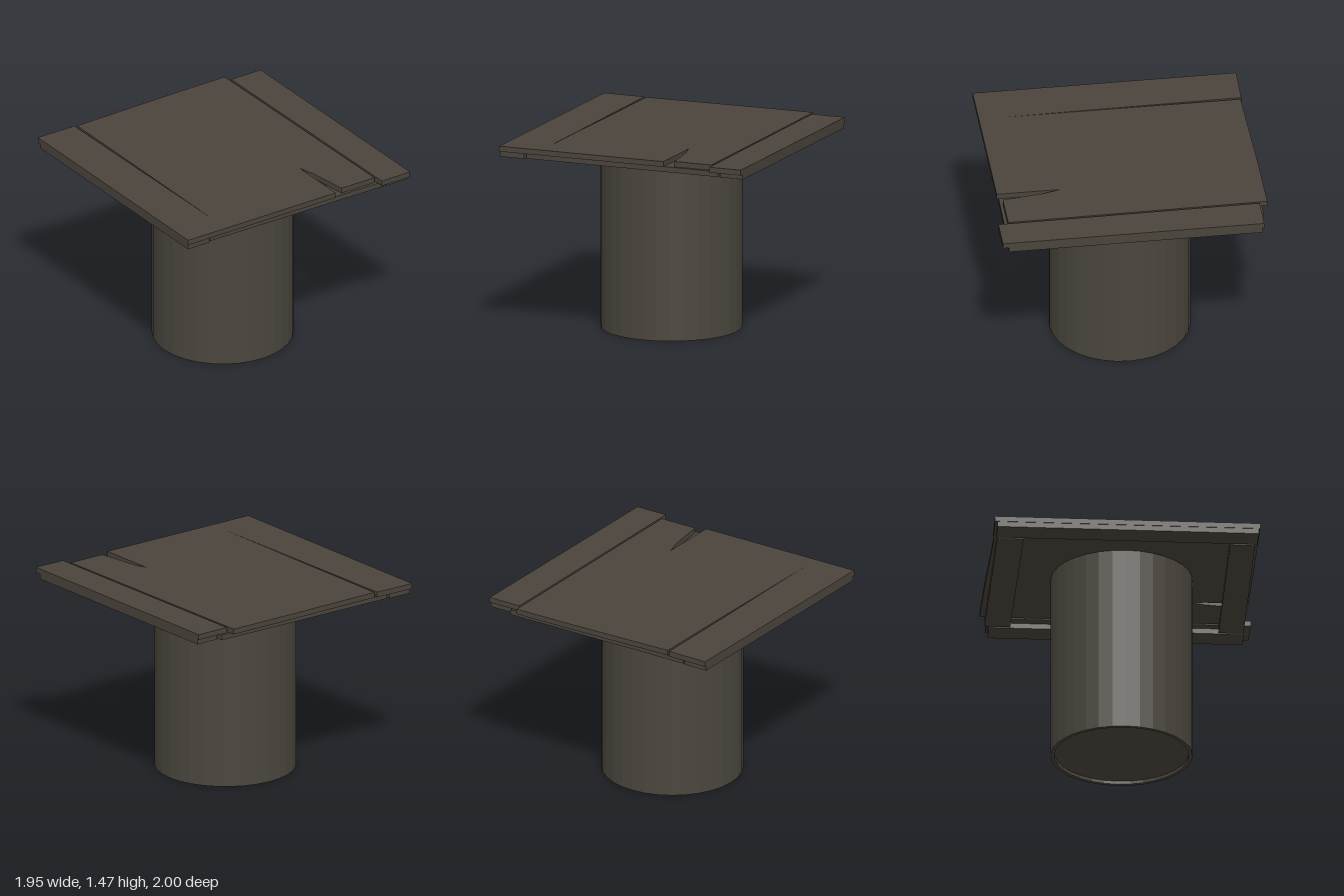
import * as THREE from 'three';

const wood = new THREE.MeshStandardMaterial({ name: 'dark wood', color: 0x4a443b, flatShading: true });
const barrel = new THREE.MeshStandardMaterial({ name: 'dark pedestal', color: 0x4b463e, flatShading: true });

const BOTTOM = 1.385, MIDDLE = 1.425, TOP = 1.465;

// Flat board from an [x, z] outline, extruded between two heights
function board(name, outline, y0, y1) {
  const shape = new THREE.Shape(outline.map(([x, z]) => new THREE.Vector2(x, -z)));
  const geometry = new THREE.ExtrudeGeometry(shape, { depth: y1 - y0, bevelEnabled: false });
  geometry.rotateX(-Math.PI / 2);
  const mesh = new THREE.Mesh(geometry, wood);
  mesh.name = name;
  mesh.position.y = y0;
  return mesh;
}

export function createModel() {
  const model = new THREE.Group();
  model.name = 'plankTable';

  // Round pedestal with a shallow recess underneath
  const profile = [[0, 0.025], [0.495, 0.025], [0.495, 0], [0.522, 0], [0.522, MIDDLE], [0, MIDDLE]];
  const pedestal = new THREE.Mesh(
    new THREE.LatheGeometry(profile.map(([r, y]) => new THREE.Vector2(r, y)), 32), barrel);
  pedestal.name = 'pedestal';
  pedestal.position.x = -0.015;
  model.add(pedestal);

  // Broad top board: long crack from the back, splintered notch at the front
  model.add(board('mainPlank', [
    [-0.98, 0.96], [0.335, 0.96], [0.335, 0.49], [0.37, 0.62], [0.41, 0.925], [0.705, 0.925],
    [0.69, -1], [0.2, -0.998], [-0.638, -0.982], [-0.642, 0.8], [-0.657, -0.99], [-0.98, -0.995],
  ], MIDDLE, TOP));

  // Thin floor closing the crack
  model.add(board('crackFloor', [[-0.642, 0.8], [-0.638, -0.98], [-0.657, -0.98]], MIDDLE, MIDDLE + 0.004));

  // Separate narrow plank, slightly shifted forward
  model.add(board('sidePlank', [[0.72, 1], [0.972, 1], [0.97, -0.94], [0.706, -0.94]], MIDDLE, TOP));

  // Frame of battens below the planks
  model.add(board('backBatten', [[-0.77, -0.77], [0.77, -0.77], [0.77, -0.96], [-0.77, -0.965]], BOTTOM, MIDDLE));
  model.add(board('frontBatten', [[-0.77, 0.935], [0.77, 0.95], [0.77, 0.765], [-0.77, 0.75]], BOTTOM, MIDDLE));
  model.add(board('rightBatten', [[-0.975, 0.95], [-0.785, 0.95], [-0.785, -0.975], [-0.975, -0.975]], BOTTOM, MIDDLE));
  model.add(board('leftBatten', [[0.785, 0.955], [0.968, 0.955], [0.968, -0.925], [0.785, -0.925]], BOTTOM, MIDDLE));

  return model;
}
